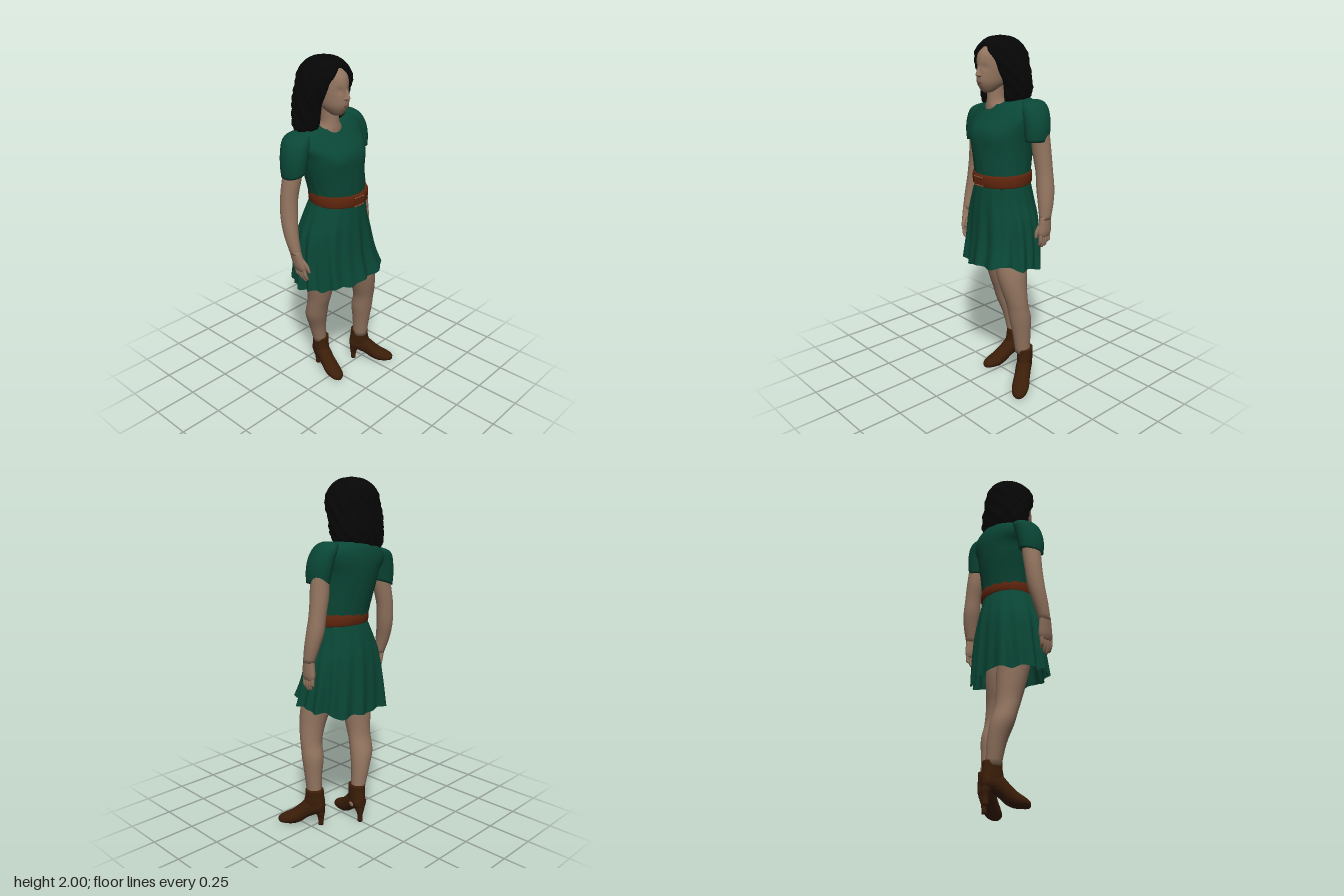
import * as THREE from 'three';

const mat = (name, color, side = THREE.FrontSide) => {
  const m = new THREE.MeshStandardMaterial({ color, side });
  m.name = name;
  return m;
};

// Smooth loft through horizontal elliptic rings [x, y, z, rx, rz, tiltX, tiltZ].
// shape(angle, y, t) scales the radius; angle 0 faces the front.
function loft(rings, { seg = 24, steps = 4, shape = () => 1, caps = true, wave = () => 0 } = {}) {
  const list = rings[0][1] > rings[rings.length - 1][1] ? [...rings].reverse() : rings;
  const curve = (a, b, c) => new THREE.CatmullRomCurve3(
    list.map(r => new THREE.Vector3(r[a] || 0, r[b] || 0, r[c] || 0)), false, 'catmullrom', 0.5);
  const centre = curve(0, 1, 2), size = curve(3, 4, 7), tilt = curve(5, 6, 7);
  const n = (list.length - 1) * steps, pos = [], idx = [];
  for (let i = 0; i <= n; i++) {
    const t = i / n, c = centre.getPoint(t), s = size.getPoint(t), k = tilt.getPoint(t);
    for (let j = 0; j < seg; j++) {
      const a = ((j + 0.5) / seg) * Math.PI * 2 - Math.PI, f = shape(a, c.y, t);
      const dx = Math.sin(a) * s.x * f, dz = Math.cos(a) * s.y * f;
      pos.push(c.x + dx, c.y + dx * k.x + dz * k.y + wave(a, t), c.z + dz);
      if (i < n) {
        const p = i * seg + j, q = i * seg + (j + 1) % seg;
        idx.push(p, q, p + seg, q, q + seg, p + seg);
      }
    }
  }
  if (caps) {
    const b = pos.length / 3, top = n * seg, p0 = centre.getPoint(0), p1 = centre.getPoint(1);
    pos.push(p0.x, p0.y, p0.z, p1.x, p1.y, p1.z);
    for (let j = 0; j < seg; j++) {
      const k = (j + 1) % seg;
      idx.push(b, k, j, b + 1, top + j, top + k);
    }
  }
  const g = new THREE.BufferGeometry();
  g.setAttribute('position', new THREE.Float32BufferAttribute(pos, 3));
  g.setIndex(idx);
  g.computeVertexNormals();
  return g;
}

export function createModel() {
  const model = new THREE.Group();
  const skin = mat('skin', 0x92745f), hairMat = mat('hair', 0x060607);
  const dress = mat('dress green', 0x0a4736, THREE.DoubleSide);
  const leather = mat('boot brown', 0x3b1e09), beltMat = mat('belt brown', 0x5f250d);
  const metal = mat('buckle', 0x9a7050), lip = mat('lips', 0x74503f);
  const add = (name, geo, m, parent = model) => {
    const mesh = new THREE.Mesh(geo, m);
    mesh.name = name;
    parent.add(mesh);
    return mesh;
  };
  const step = THREE.MathUtils.smoothstep;
  const bump = (v, mid, width) => Math.exp(-(((v - mid) / width) ** 2));

  // Head, with shallow eye sockets
  const head = [[-0.047, 1.70, 0.05, 0.022, 0.03], [-0.047, 1.715, 0.045, 0.042, 0.052],
    [-0.047, 1.755, 0.02, 0.068, 0.098], [-0.047, 1.81, 0, 0.079, 0.118], [-0.047, 1.86, -0.01, 0.081, 0.128],
    [-0.047, 1.91, -0.015, 0.076, 0.12], [-0.047, 1.95, -0.03, 0.05, 0.09]];
  add('head', loft(head, { seg: 48, shape: (a, y) =>
    1 - 0.07 * bump(Math.abs(a), 0.42, 0.22) * bump(y, 1.838, 0.016) }), skin);
  add('nose', loft([[-0.045, 1.782, 0.1, 0.012, 0.016], [-0.045, 1.794, 0.106, 0.019, 0.033],
    [-0.045, 1.81, 0.104, 0.014, 0.032], [-0.045, 1.85, 0.098, 0.009, 0.019]], { seg: 20 }), skin);
  for (const y of [1.759, 1.752]) {
    const m = add('lip', new THREE.SphereGeometry(1, 16, 8), lip);
    m.scale.set(0.02, 0.0035, 0.004);
    m.position.set(-0.045, y, 0.117);
  }
  add('neck', loft([[-0.04, 1.57, -0.03, 0.09, 0.085], [-0.04, 1.62, -0.02, 0.075, 0.075],
    [-0.044, 1.66, -0.005, 0.049, 0.056], [-0.046, 1.75, -0.01, 0.047, 0.055]]), skin);

  // Wavy shoulder-length hair, notched around the face
  const hair = [[-0.055, 1.62, -0.085, 0.13, 0.075, 0.18], [-0.05, 1.65, -0.08, 0.166, 0.1, 0.12],
    [-0.046, 1.71, -0.078, 0.175, 0.113], [-0.045, 1.77, -0.07, 0.173, 0.122], [-0.045, 1.84, -0.05, 0.163, 0.138],
    [-0.045, 1.91, -0.04, 0.141, 0.146], [-0.045, 1.96, -0.038, 0.104, 0.118],
    [-0.045, 1.99, -0.035, 0.06, 0.07], [-0.045, 2, -0.035, 0.01, 0.01]];
  add('hair', loft(hair, { seg: 120, steps: 6, shape: (a, y) => {
    const edge = 0.6 - 0.3 * step(y, 1.87, 1.95);
    const open = (1 - step(y, 1.925, 1.955)) * (1 - step(Math.abs(a), edge - 0.18, edge));
    const curl = 0.026 * (1 - step(y, 1.88, 1.97)) * (Math.sin(a * 11 + y * 60) + 0.7 * Math.sin(a * 19 - y * 85));
    return (1 + curl) * (1 - 0.6 * open);
  } }), hairMat);

  // Bodice with slight folds gathering toward the waist
  const bodice = [[0.015, 1.21, 0, 0.166, 0.146], [0.005, 1.3, -0.006, 0.172, 0.156], [-0.008, 1.42, -0.018, 0.189, 0.167],
    [-0.01, 1.5, -0.028, 0.205, 0.167, 0.05], [-0.015, 1.56, -0.052, 0.232, 0.145, 0.1],
    [-0.02, 1.61, -0.068, 0.222, 0.122, 0.13], [-0.03, 1.642, -0.068, 0.165, 0.105, 0.13, -0.1],
    [-0.04, 1.653, -0.05, 0.095, 0.085, 0.1, -0.3]];
  add('bodice', loft(bodice, { seg: 72, shape: (a, y) =>
    1 + 0.012 * Math.sin(a * 16) * (1 - step(y, 1.25, 1.42)) +
    0.05 * bump(Math.abs(a), 0.5, 0.3) * bump(y, 1.46, 0.05) }), dress);

  // Pleated skirt, flaring at left front and right back
  const skirt = [[0.008, 0.718, 0, 0.27, 0.197, 0.05, 0.07], [0.003, 0.86, -0.012, 0.254, 0.184, 0, 0.03],
    [0, 1.0, -0.014, 0.232, 0.175], [0.002, 1.1, -0.01, 0.2, 0.165], [0.015, 1.225, 0, 0.165, 0.143]];
  add('skirt', loft(skirt, { seg: 192, steps: 6, caps: false,
    shape: (a, y, t) => 1 + (1 - t) * (0.042 * Math.sin(a * 17 + 0.6) + 0.03 * Math.sin(a * 10 + 2 + t)
      + 0.06 * Math.sin(a * 2 + 0.4)) + (1 - t) ** 2 * (0.1 * bump(a, 0.6, 0.25) + 0.1 * bump(a, -2.6, 0.2)),
    wave: (a, t) => (1 - t) ** 3 * (0.008 * Math.sin(a * 9 + 1) + 0.025 * bump(a, 0.75, 0.4)
      - 0.025 * bump(a, 2.6, 0.4)) }), dress);

  // Short puffed sleeves
  add('rightSleeve', loft([[-0.265, 1.405, -0.06, 0.064, 0.074, 0.35], [-0.262, 1.46, -0.06, 0.071, 0.08, 0.3],
    [-0.252, 1.52, -0.062, 0.075, 0.084, 0.25], [-0.235, 1.575, -0.068, 0.074, 0.082, 0.2],
    [-0.218, 1.602, -0.074, 0.062, 0.066, 0.15], [-0.2, 1.617, -0.078, 0.025, 0.025, 0.15]]), dress);
  add('leftSleeve', loft([[0.232, 1.455, -0.055, 0.054, 0.073], [0.227, 1.52, -0.06, 0.061, 0.08],
    [0.215, 1.58, -0.065, 0.063, 0.083, -0.1], [0.196, 1.63, -0.072, 0.063, 0.078, -0.15],
    [0.184, 1.658, -0.077, 0.053, 0.06, -0.15], [0.18, 1.67, -0.077, 0.022, 0.027]]), dress);

  // Belt and buckle
  add('belt', loft([[0.015, 1.2, 0.005, 0.165, 0.142, 0, -0.05], [0.015, 1.206, 0.004, 0.177, 0.159, 0, -0.05],
    [0.015, 1.26, 0.004, 0.177, 0.159, 0, -0.05], [0.015, 1.267, 0.005, 0.165, 0.142, 0, -0.05]],
    { seg: 48, steps: 2 }), beltMat);
  const buckle = new THREE.Group();
  buckle.name = 'buckle';
  buckle.position.set(0.005, 1.226, 0.166);
  model.add(buckle);
  add('buckleLeather', new THREE.BoxGeometry(0.07, 0.058, 0.009), beltMat, buckle);
  for (let i = 0; i < 7; i++) for (const s of [-1, 1]) {
    const bead = add('buckleBead', new THREE.SphereGeometry(0.0035, 8, 6), metal, buckle);
    bead.position.set(-0.033 + i * 0.011, s * 0.024, 0.005);
  }

  // Arms and hands
  const arms = {
    left: { path: [[0.235, 1.53, -0.07, 0.045, 0.055], [0.243, 1.4, -0.08, 0.053, 0.053], [0.262, 1.29, -0.083, 0.048, 0.049],
      [0.276, 1.2, -0.08, 0.049, 0.051], [0.291, 1.12, -0.07, 0.042, 0.046], [0.304, 1.03, -0.055, 0.029, 0.035]],
      wrist: [0.304, 1.03, -0.055], tip: [0.3, 0.865, -0.05], side: 1 },
    right: { path: [[-0.255, 1.5, -0.06, 0.045, 0.055], [-0.275, 1.38, -0.065, 0.052, 0.054], [-0.295, 1.27, -0.07, 0.049, 0.05],
      [-0.306, 1.16, -0.062, 0.047, 0.049], [-0.315, 1.06, -0.04, 0.039, 0.043], [-0.314, 0.96, -0.01, 0.029, 0.034]],
      wrist: [-0.314, 0.96, -0.01], tip: [-0.283, 0.785, 0.02], side: -1 }
  };
  for (const [name, { path, wrist, tip, side }] of Object.entries(arms)) {
    add(name + 'Arm', loft(path), skin);
    const at = (k, dx, dz, rx, rz) => [...wrist.map((v, i) => v + (tip[i] - v) * k + [dx, 0, dz][i]), rx, rz];
    add(name + 'Palm', loft([at(-0.1, 0, 0, 0.028, 0.034), at(0.2, 0, 0, 0.026, 0.041),
      at(0.45, 0, 0, 0.024, 0.045), at(0.6, 0, 0, 0.017, 0.039)]), skin);
    for (let f = 0; f < 4; f++) {
      const dz = (1.5 - f) * 0.02, end = [0.93, 1, 0.97, 0.86][f];
      add(name + 'Finger', loft([at(0.48, 0, dz, 0.012, 0.011), at(0.75, side * 0.003, dz, 0.011, 0.0105),
        at(end - 0.04, -side * 0.004, dz * 0.9, 0.009, 0.009), at(end, -side * 0.007, dz * 0.9, 0.003, 0.003)],
        { seg: 10, steps: 3 }), skin);
    }
    add(name + 'Thumb', loft([at(0.12, -side * 0.005, 0.02, 0.012, 0.014), at(0.4, -side * 0.012, 0.045, 0.012, 0.012),
      at(0.64, -side * 0.014, 0.05, 0.008, 0.008)], { seg: 10 }), skin);
  }

  // Legs
  add('leftLeg', loft([[0.125, 0.88, 0.025, 0.075, 0.075], [0.138, 0.79, 0.042, 0.09, 0.088], [0.153, 0.7, 0.056, 0.09, 0.088],
    [0.173, 0.62, 0.06, 0.079, 0.076], [0.192, 0.54, 0.054, 0.068, 0.065], [0.198, 0.49, 0.046, 0.064, 0.062],
    [0.202, 0.42, 0.032, 0.063, 0.065], [0.207, 0.32, 0.024, 0.051, 0.054], [0.209, 0.2, 0.015, 0.041, 0.045]], { seg: 28 }), skin);
  add('rightLeg', loft([[-0.085, 0.92, -0.035, 0.09, 0.09], [-0.08, 0.78, -0.04, 0.097, 0.093], [-0.077, 0.66, -0.055, 0.085, 0.082],
    [-0.073, 0.56, -0.07, 0.072, 0.07], [-0.071, 0.5, -0.085, 0.07, 0.064], [-0.062, 0.42, -0.107, 0.069, 0.065],
    [-0.038, 0.32, -0.122, 0.053, 0.053], [-0.016, 0.2, -0.125, 0.039, 0.042]], { seg: 28 }), skin);

  // Heeled ankle boots: foot sections are [distance from heel, bottom, top, half width]
  const sections = [[-0.004, 0.1, 0.14, 0.016], [0.01, 0.08, 0.17, 0.036], [0.05, 0.068, 0.18, 0.044],
    [0.095, 0.047, 0.172, 0.045], [0.14, 0.015, 0.13, 0.046], [0.185, 0, 0.09, 0.049],
    [0.235, 0, 0.062, 0.043], [0.265, 0.003, 0.045, 0.027], [0.276, 0.012, 0.032, 0.008]];
  const boot = (name, x, z, toeX, toeZ) => {
    const g = new THREE.Group();
    g.name = name;
    g.position.set(x, 0, z);
    g.rotation.y = Math.atan2(toeX - x, toeZ - z);
    model.add(g);
    const foot = loft(sections.map(([s, b, t, w]) => [0, s, -(b + t) / 2, w, (t - b) / 2]));
    add('bootFoot', foot.rotateX(Math.PI / 2), leather, g);
    add('bootShaft', loft([[0, 0.09, 0.055, 0.038, 0.055], [0, 0.14, 0.057, 0.045, 0.063],
      [0, 0.185, 0.056, 0.046, 0.056], [0, 0.228, 0.056, 0.047, 0.053]]), leather, g);
    add('bootHeel', loft([[0, 0, 0.02, 0.014, 0.015], [0, 0.045, 0.02, 0.016, 0.018],
      [0, 0.08, 0.025, 0.028, 0.029], [0, 0.11, 0.032, 0.034, 0.034]], { seg: 16 }), leather, g);
    return g;
  };
  boot('leftBoot', 0.182, -0.04, 0.345, 0.178);
  const rightBoot = boot('rightBoot', 0.005, -0.18, -0.055, 0.085);
  // Pale worn patch on the inner side of the right boot
  const patch = add('wornPatch', new THREE.SphereGeometry(1, 16, 8), skin, rightBoot);
  patch.scale.set(0.004, 0.014, 0.022);
  patch.position.set(0.044, 0.11, 0.05);
  return model;
}
